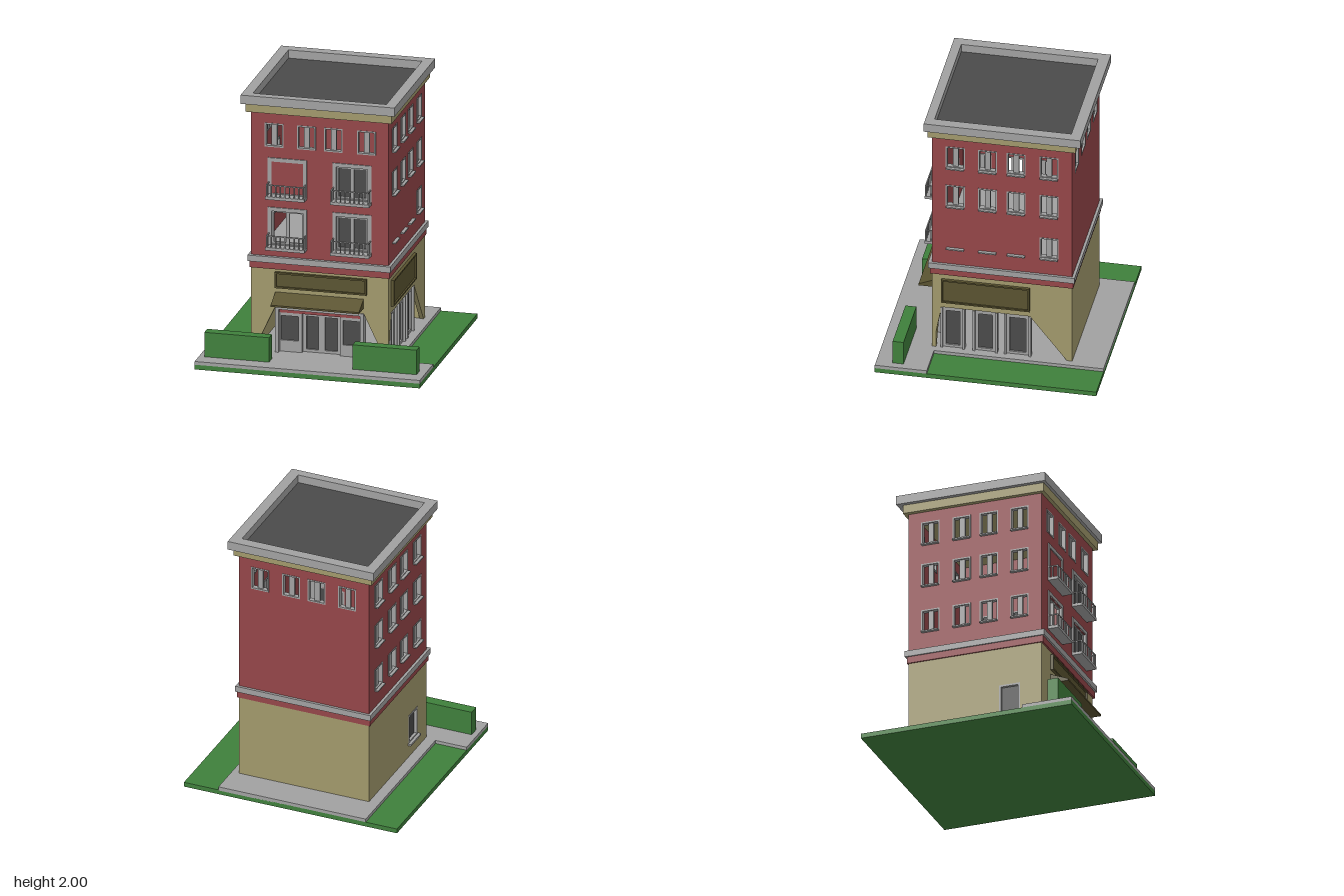
import * as THREE from 'three';

const material = (name, color) => {
  const m = new THREE.MeshStandardMaterial({ color });
  m.name = name;
  return m;
};
const M = {
  red: material('red brick', 0x944548),
  tan: material('tan stone', 0xa0986b),
  grey: material('grey trim', 0xa0a0a0),
  dark: material('dark glass', 0x4a4a4a),
  olive: material('olive sign', 0x5a5330),
  green: material('green grass', 0x3f7f3b),
};

function mesh(parent, name, geometry, mat) {
  const m = new THREE.Mesh(geometry, mat);
  m.name = name;
  parent.add(m);
  return m;
}

// Box given by its limits on each axis
function box(parent, name, mat, [x0, x1], [y0, y1], [z0, z1]) {
  const m = mesh(parent, name, new THREE.BoxGeometry(x1 - x0, y1 - y0, z1 - z0), mat);
  m.position.set((x0 + x1) / 2, (y0 + y1) / 2, (z0 + z1) / 2);
  return m;
}

const toPoints = (list) => list.map(([x, y]) => new THREE.Vector2(x, y));
const rect = (u0, u1, y0, y1) => [[u0, y0], [u1, y0], [u1, y1], [u0, y1]];

// Upright plate with holes, reaching from depth z0 to z1
function plate(parent, name, mat, outline, holes, z0, z1) {
  const shape = new THREE.Shape(toPoints(outline));
  holes.forEach((h) => shape.holes.push(new THREE.Path(toPoints(h))));
  const g = new THREE.ExtrudeGeometry(shape, { depth: z1 - z0, bevelEnabled: false });
  return mesh(parent, name, g.translate(0, 0, z0), mat);
}

function frame(parent, name, mat, [u0, u1], [y0, y1], t, z0, z1) {
  return plate(parent, name, mat, rect(u0, u1, y0, y1), [rect(u0 + t, u1 - t, y0 + t, y1 - t)], z0, z1);
}

// Small open window with a central post and an optional sill
function sashWindow(face, u, y0, y1, sill) {
  frame(face, 'windowFrame', M.grey, [u - 0.07, u + 0.07], [y0, y1], 0.011, -0.035, 0.003);
  box(face, 'windowPost', M.grey, [u - 0.02, u + 0.02], [y0 + 0.01, y1 - 0.01], [-0.03, -0.01]);
  if (sill) box(face, 'windowSill', M.grey, [u - 0.065, u + 0.065], [y0 - 0.005, y0 + 0.005], [-0.03, 0.025]);
}

// Tall window with a railed balcony
function balcony(face, u, y0, y1, pane) {
  const g = new THREE.Group();
  g.name = 'balcony';
  face.add(g);
  frame(g, 'balconyDoorFrame', M.grey, [u - 0.145, u + 0.145], [y0, y1], 0.028, -0.03, 0.008);
  if (pane) {
    for (const s of [-1, 1]) {
      const c = u + s * 0.058;
      frame(g, 'balconyDoor', M.grey, [c - 0.058, c + 0.058], [y0 + 0.028, y1 - 0.028], 0.012, -0.03, -0.01);
      if (pane === 'glass') box(g, 'balconyGlass', M.dark, [c - 0.048, c + 0.048], [y0 + 0.03, y1 - 0.03], [-0.025, -0.018]);
    }
  }
  box(g, 'balconyFloor', M.grey, [u - 0.145, u + 0.145], [y0, y0 + 0.022], [0, 0.078]);
  const top = y0 + 0.113, r = 0.004;
  box(g, 'frontRail', M.grey, [u - 0.14, u + 0.14], [top - 0.008, top], [0.068, 0.076]);
  for (const s of [-1, 1]) {
    const c = u + s * 0.136;
    box(g, 'sideRail', M.grey, [c - r, c + r], [top - 0.008, top], [0, 0.076]);
    box(g, 'sideBaluster', M.grey, [c - r, c + r], [y0 + 0.02, top], [0.03, 0.038]);
  }
  for (let i = 0; i <= 8; i++) {
    const c = u - 0.136 + i * 0.034;
    box(g, 'baluster', M.grey, [c - r, c + r], [y0 + 0.02, top], [0.068, 0.076]);
  }
}

function sign(face, u, y) {
  box(face, 'signBoard', M.olive, u, y, [0, 0.01]);
  frame(face, 'signFrame', M.olive, u, y, 0.012, 0, 0.022);
}

// Glazed panel of the shop front
function shopPanel(parent, u, y, margin, z) {
  const inner = rect(u[0] + margin, u[1] - margin, y[0] + 0.02, y[1] - 0.035);
  plate(parent, 'shopFrame', M.grey, rect(u[0], u[1], y[0], y[1]), [inner], z - 0.03, z);
  box(parent, 'shopGlass', M.dark, [u[0] + margin, u[1] - margin], [y[0] + 0.02, y[1] - 0.035], [z - 0.02, z - 0.013]);
}

export function createModel() {
  const model = new THREE.Group();
  model.name = 'cornerBuilding';

  // Ground, pavement and hedges
  box(model, 'lawn', M.green, [-0.835, 0.835], [0, 0.035], [-0.81, 0.81]);
  box(model, 'pavement', M.grey, [-0.59, 0.565], [0.03, 0.06], [-0.81, 0.43]);
  box(model, 'frontPavement', M.grey, [-0.835, 0.835], [0.035, 0.06], [0.43, 0.81]);
  box(model, 'rightHedge', M.green, [-0.795, -0.315], [0.06, 0.245], [0.61, 0.69]);
  box(model, 'leftHedge', M.green, [0.305, 0.78], [0.06, 0.245], [0.61, 0.69]);

  // Faces: local x runs right as seen from outside, local z points outward
  const makeFace = (name, x, z, turn) => {
    const g = new THREE.Group();
    g.name = name;
    g.position.set(x, 0, z);
    g.rotation.y = turn;
    model.add(g);
    return g;
  };
  const front = makeFace('frontFace', 0, 0.455, 0);
  const back = makeFace('backFace', 0, -0.57, Math.PI);
  const left = makeFace('leftFace', 0.51, 0, Math.PI / 2);
  const right = makeFace('rightFace', -0.51, 0, -Math.PI / 2);

  const rows = [[1.61, 1.79], [1.28, 1.46], [0.92, 1.095]];
  const frontU = [-0.34, -0.1, 0.1, 0.345];
  const sideU = [-0.285, -0.05, 0.16, 0.4];
  const upperWall = (face, u0, u1, windows, sill, extra = []) => {
    const holes = windows.map(([u, r]) => rect(u - 0.07, u + 0.07, ...rows[r]));
    plate(face, 'upperWall', M.red, rect(u0, u1, 0.74, 1.9), holes.concat(extra), -0.03, 0);
    windows.forEach(([u, r]) => sashWindow(face, u, ...rows[r], sill));
  };
  const topRow = (us) => us.map((u) => [u, 0]);

  // Upper walls and windows
  const tall = [[-0.24, 0.85], [0.24, 0.85], [0.24, 1.235]];
  upperWall(front, -0.51, 0.51, topRow(frontU), false,
    tall.map(([u, y]) => rect(u - 0.12, u + 0.12, y + 0.025, y + 0.275)));
  upperWall(back, -0.51, 0.51, topRow(frontU.map((u) => -u)), false);
  const twoRows = sideU.flatMap((u) => [[u, 0], [u, 1]]);
  upperWall(left, -0.455, 0.57, [...twoRows, [0.4, 2]], true);
  upperWall(right, -0.57, 0.455, sideU.flatMap((u) => [0, 1, 2].map((r) => [-u, r])), true);
  for (const u of sideU.slice(0, 3)) box(left, 'windowSill', M.grey, [u - 0.065, u + 0.065], [0.915, 0.925], [0, 0.025]);

  balcony(front, -0.24, 1.235, 1.53, null);
  balcony(front, 0.24, 1.235, 1.53, 'glass');
  balcony(front, -0.24, 0.85, 1.155, 'open');
  balcony(front, 0.24, 0.85, 1.155, 'glass');

  // Ground floor walls, with flared shop openings on two sides
  const flared = (u0, u1, a, b, c, d) =>
    [[u0, 0.06], [a, 0.06], [b, 0.405], [c, 0.405], [d, 0.06], [u1, 0.06], [u1, 0.74], [u0, 0.74]];
  plate(front, 'shopWall', M.tan, flared(-0.51, 0.51, -0.49, -0.33, 0.325, 0.49), [], -0.03, 0);
  plate(left, 'shopWall', M.tan, flared(-0.455, 0.57, -0.45, -0.385, 0.26, 0.53), [], -0.03, 0);
  plate(back, 'lowerWall', M.tan, rect(-0.51, 0.51, 0.06, 0.74), [], -0.03, 0);
  plate(right, 'lowerWall', M.tan, rect(-0.57, 0.455, 0.06, 0.74), [rect(0.13, 0.29, 0.17, 0.4)], -0.03, 0);
  frame(right, 'lowerWindowFrame', M.grey, [0.13, 0.29], [0.17, 0.4], 0.015, -0.035, 0.003);
  box(right, 'lowerWindowGlass', M.dark, [0.14, 0.28], [0.18, 0.39], [-0.025, -0.018]);
  box(right, 'lowerWindowSill', M.grey, [0.12, 0.3], [0.16, 0.175], [-0.03, 0.025]);

  // Front shop: doors in the middle, display windows beside them
  for (const s of [-1, 1]) {
    shopPanel(front, s < 0 ? [-0.14, 0] : [0, 0.14], [0.06, 0.365], 0.024, -0.06);
    const u = s < 0 ? [-0.32, -0.14] : [0.14, 0.32];
    box(front, 'displayBase', M.grey, u, [0.06, 0.13], [-0.09, -0.03]);
    shopPanel(front, u, [0.125, 0.365], 0.025, -0.03);
    box(front, 'shopPost', M.grey, s < 0 ? [-0.33, -0.305] : [0.3, 0.325], [0.06, 0.405], [-0.06, 0.005]);
  }
  box(front, 'transom', M.red, [-0.305, 0.3], [0.355, 0.39], [-0.05, -0.025]);
  box(front, 'shopLintel', M.grey, [-0.33, 0.325], [0.385, 0.405], [-0.06, 0.005]);

  // Side shop: three glazed panels
  for (const u of [[-0.385, -0.225], [-0.15, 0.015], [0.08, 0.26]]) {
    shopPanel(left, u, [0.06, 0.405], 0.03, -0.015);
    for (const e of u) box(left, 'shopPost', M.grey, [e - 0.008, e + 0.008], [0.06, 0.403], [-0.045, 0.003]);
  }

  // Signs and awning
  sign(front, [-0.33, 0.35], [0.55, 0.67]);
  sign(left, [-0.385, 0.26], [0.455, 0.65]);
  const awning = plate(model, 'awning', M.olive, [[0, 0.445], [0.135, 0.445], [0.135, 0.458], [0, 0.515]], [], -0.325, 0.33);
  awning.rotation.y = -Math.PI / 2;
  awning.position.z = 0.455;

  // String course, cornice and roof
  box(model, 'redBand', M.red, [-0.52, 0.52], [0.69, 0.742], [-0.578, 0.468]);
  box(model, 'stringCourse', M.grey, [-0.53, 0.53], [0.74, 0.785], [-0.59, 0.482]);
  box(model, 'tanCornice', M.tan, [-0.543, 0.54], [1.87, 1.934], [-0.6, 0.483]);
  box(model, 'roof', M.dark, [-0.51, 0.5], [1.925, 1.938], [-0.57, 0.45]);
  const parapet = plate(model, 'parapet', M.grey, rect(-0.575, 0.567, -0.505, 0.64), [rect(-0.5, 0.49, -0.44, 0.56)], 1.934, 2);
  parapet.rotation.x = -Math.PI / 2;

  return model;
}
